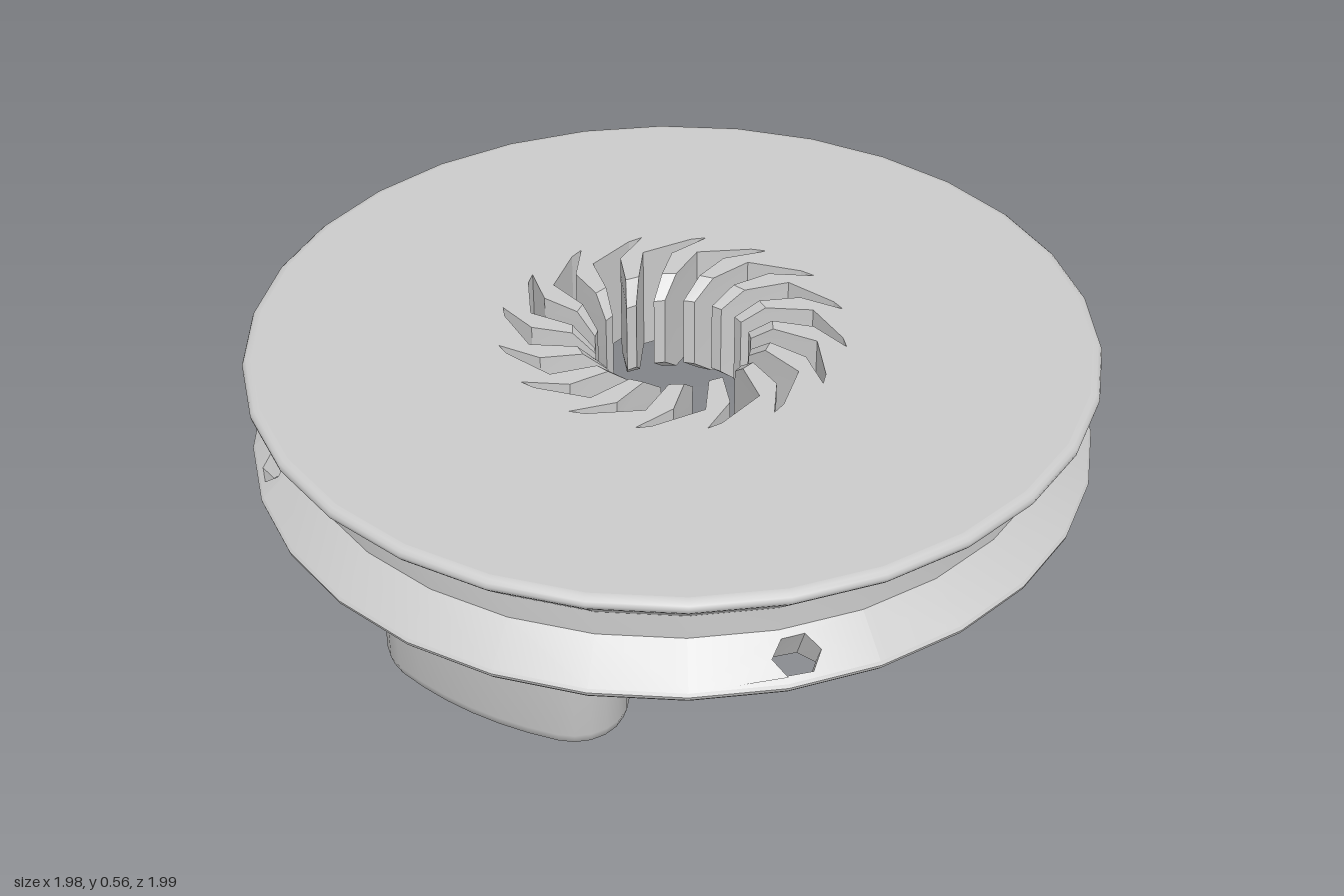
import * as THREE from 'three';
import { toCreasedNormals } from 'three/addons/utils/BufferGeometryUtils.js';

const D = Math.PI / 180, STEP = 12 * D;
const BOTTOM = 0.285, TOP = 0.555;
const material = new THREE.MeshStandardMaterial({ color: 0xcccccc });

// Point at angle a (0 = front, growing towards +x), radius r, height y
const polar = (a, r, y) => new THREE.Vector3(r * Math.sin(a), y, r * Math.cos(a));
const circle = (n, f) => Array.from({ length: n }, (_, i) => f((i / n) * Math.PI * 2));

// Skin through closed loops of equal length
function loft(loops, crease = 0.5) {
  const pos = [], n = loops[0].length;
  for (let j = 0; j < loops.length - 1; j++) {
    for (let i = 0; i < n; i++) {
      const k = (i + 1) % n;
      const a = loops[j][i], b = loops[j][k], c = loops[j + 1][k], d = loops[j + 1][i];
      for (const p of [a, b, c, a, c, d]) pos.push(p.x, p.y, p.z);
    }
  }
  const g = new THREE.BufferGeometry();
  g.setAttribute('position', new THREE.Float32BufferAttribute(pos, 3));
  return toCreasedNormals(g, crease);
}

// Flat horizontal face with holes, facing up (side 1) or down (side -1)
function cap(outline, holes, y, side) {
  const flat = (loop) => loop.map((p) => new THREE.Vector2(p.x, -side * p.z));
  const shape = new THREE.Shape(flat(outline));
  shape.holes = holes.map((h) => new THREE.Path(flat(h)));
  return new THREE.ShapeGeometry(shape).rotateX(-side * Math.PI / 2).translate(0, y, 0);
}

const lathe = (points, start = 0, count = 30) => toCreasedNormals(
  new THREE.LatheGeometry(points.map((p) => new THREE.Vector2(...p)), count, start * STEP, count * STEP), 0.7);

// Lower cone of the groove: radius at height y, and its faceted version
const S0 = [0.992, 0.312], S1 = [0.91, 0.39];
function onSlope(a, y) {
  const r = S0[0] + (S1[0] - S0[0]) * (y - S0[1]) / (S1[1] - S0[1]);
  const off = a - Math.floor(a / STEP) * STEP - STEP / 2;
  return polar(a, r * Math.cos(STEP / 2) / Math.cos(off), y);
}

// Cone panel spanning facets i0..i1, pierced by a hexagon of [angle, y] points
function slopePanel(i0, i1, hex) {
  const low = [], high = [];
  for (let i = i0; i <= i1; i++) {
    low.push(new THREE.Vector2(i * STEP, S0[1]));
    high.unshift(new THREE.Vector2(i * STEP, S1[1]));
  }
  const shape = new THREE.Shape([...low, ...high]);
  shape.holes.push(new THREE.Path(hex.map((p) => new THREE.Vector2(...p))));
  const g = new THREE.ShapeGeometry(shape);
  const pos = g.attributes.position, nor = g.attributes.normal;
  for (let i = 0; i < pos.count; i++) {
    const a = pos.getX(i), p = onSlope(a, pos.getY(i)), n = polar(a, 0.69, 0.724);
    pos.setXYZ(i, p.x, p.y, p.z);
    nor.setXYZ(i, n.x, n.y, n.z);
  }
  return g;
}

// Outline of the swirl vent; inset pushes the blade ends towards the middle
function ventLoop(y, inset) {
  const slot = [[0.235, -29], [0.34, -21], [0.398, -2], [0.41, 3], [0.33, -9], [0.235, -15]];
  const loop = [];
  for (let i = 0; i < 16; i++) {
    for (const [r, c] of slot) {
      const end = inset && r < 0.3;
      loop.push(polar((180 - i * 22.5 - c + (end ? 8 : 0)) * D, end ? 0.185 : r, y));
    }
  }
  return loop.reverse();
}

// Curved arrow outline, centred on angle mid
function arrowLoop(mid, y) {
  const pts = [];
  const add = (deg, r) => pts.push(polar(mid + deg * D, r, y));
  add(-20, 0.925);
  add(-15, 0.89);
  for (let d = -15; d <= 18; d += 3) add(d, 0.915);
  for (let d = 18; d >= -15; d -= 3) add(d, 0.935);
  add(-15, 0.96);
  return pts.reverse();
}

// Kidney-shaped foot section on a bent centre line, grown by offset
function footLoop(mid, offset, y) {
  const R = 0.744, half = 14.3 * D, w = 0.12 + offset, pts = [];
  for (let i = 0; i < 6; i++) pts.push(polar(mid - half + (i / 6) * 2 * half, R + w, y));
  const end = (s) => {
    const a = mid + s * half, c = polar(a, R, y);
    for (let i = 0; i < 10; i++) {
      const t = (i / 10) * Math.PI + (s < 0 ? Math.PI : 0);
      pts.push(polar(a + t, w, 0).add(c));
    }
  };
  end(1);
  for (let i = 0; i < 6; i++) pts.push(polar(mid + half - (i / 6) * 2 * half, R - w, y));
  end(-1);
  return pts;
}

export function createModel() {
  const model = new THREE.Group();
  const add = (name, geometry, parent = model) => {
    const mesh = new THREE.Mesh(geometry, material);
    mesh.name = name;
    parent.add(mesh);
  };
  const rim = (y) => circle(30, (a) => polar(a, 0.975, y));

  // Rounded rims and the groove floor
  add('lowerRim', lathe([[0.975, BOTTOM], [0.988, 0.289], [0.995, 0.297], [0.997, 0.305], S0]));
  add('grooveAndUpperRim', lathe([S1, [0.91, 0.45], [0.988, 0.522], [0.995, 0.53], [0.997, 0.539],
    [0.994, 0.547], [0.987, 0.553], [0.975, TOP]]));

  // Lower cone with four hexagonal holes running down to the underside
  const spans = [[-1, 1], [7, 8], [14, 16], [22, 23]];
  const hexHoles = [];
  const cone = new THREE.Group();
  cone.name = 'lowerCone';
  model.add(cone);
  spans.forEach(([i0, i1], k) => {
    const a = (90 * k + 1.8) * D, next = k < 3 ? spans[k + 1][0] : 29;
    const hex = circle(6, (t) => [a + 0.057 * Math.cos(t), 0.349 + 0.032 * Math.sin(t)]);
    const under = circle(6, (t) =>
      polar(a + 0.06 * Math.cos(t), 0.915 - 0.046 * Math.sin(t), BOTTOM));
    hexHoles.push(under);
    add('piercedPanel', slopePanel(i0, i1, hex), cone);
    add('plainPanel', lathe([S0, S1], i1, next - i1), cone);
    add('hexHoleWall', loft([hex.map(([b, y]) => onSlope(b, y)), under]), cone);
  });

  // Engraved direction arrows underneath
  const arrows = [45, 225].map((deg) => {
    const floor = arrowLoop(deg * D, BOTTOM + 0.02), edge = arrowLoop(deg * D, BOTTOM);
    add('arrowFloor', cap(floor, [], BOTTOM + 0.02, -1));
    add('arrowWall', loft([floor, edge]));
    return edge;
  });

  // Top and bottom faces, and the swirl vent through the middle
  add('topFace', cap(rim(TOP), [ventLoop(TOP)], TOP, 1));
  add('bottomFace', cap(rim(BOTTOM), [ventLoop(BOTTOM), ...hexHoles, ...arrows], BOTTOM, -1));
  add('ventWall', loft([ventLoop(TOP), ventLoop(0.51, true), ventLoop(0.33, true), ventLoop(BOTTOM)], 0.2));

  // Two feet on opposite corners, flared into the disc
  const profile = [[-0.04, 0], [-0.022, 0.004], [-0.008, 0.015], [0, 0.04], [0, 0.21],
    [0.006, 0.238], [0.02, 0.262], [0.042, 0.278], [0.07, BOTTOM]];
  for (const deg of [135, 315]) {
    const foot = new THREE.Group();
    foot.name = 'foot';
    model.add(foot);
    add('footSide', loft(profile.map(([o, y]) => footLoop(deg * D, o, y)), 0.8), foot);
    add('footSole', cap(footLoop(deg * D, -0.04, 0), [], 0, -1), foot);
  }
  return model;
}
